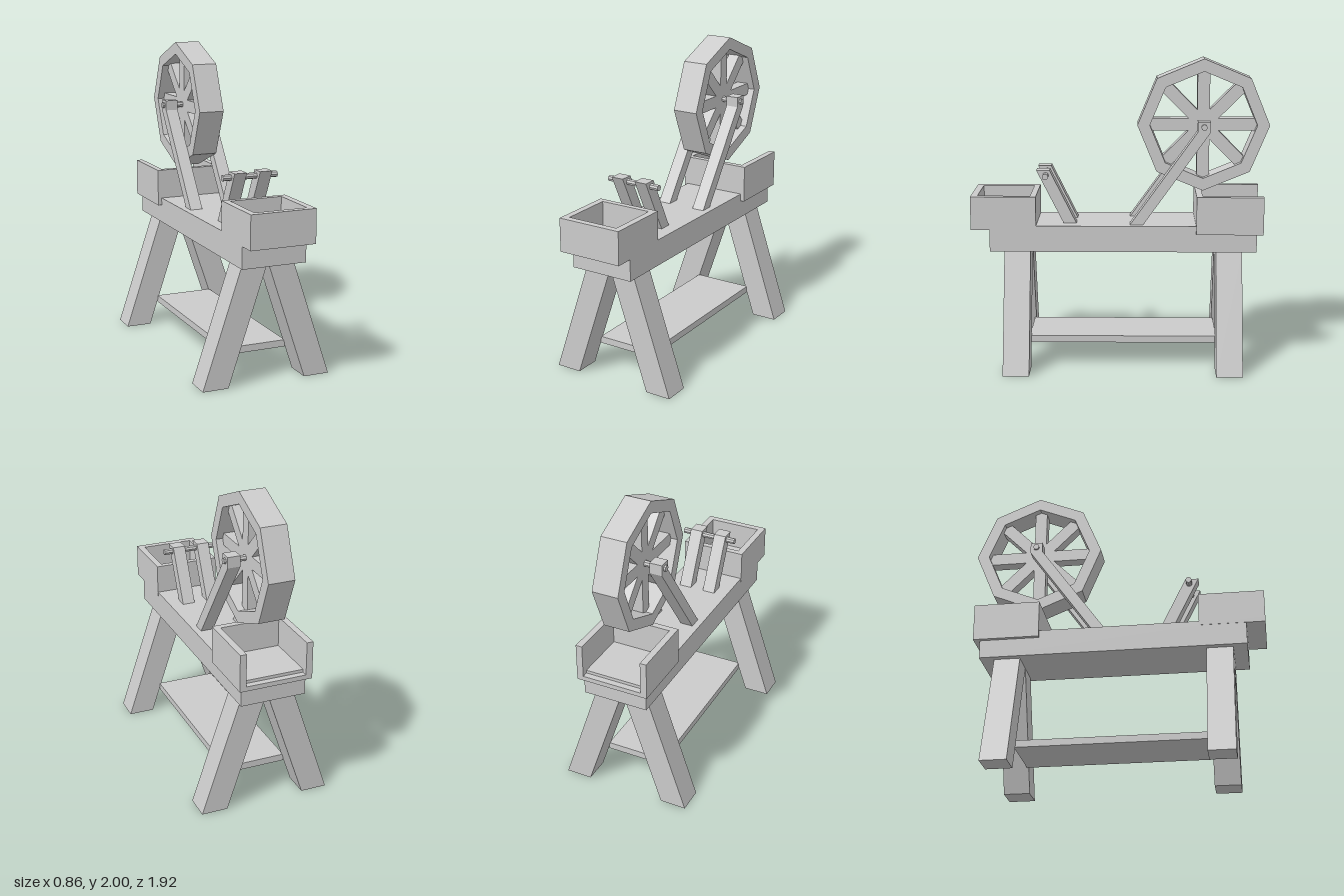
import * as THREE from 'three';

export function createModel() {
  const model = new THREE.Group();
  const mat = new THREE.MeshStandardMaterial({ color: 0xcccccc, flatShading: true });

  function add(name, geo, parent = model) {
    const mesh = new THREE.Mesh(geo, mat);
    mesh.name = name;
    parent.add(mesh);
    return mesh;
  }
  // Box given by its limits on each axis
  function box(name, x0, x1, y0, y1, z0, z1, parent) {
    const m = add(name, new THREE.BoxGeometry(x1 - x0, y1 - y0, z1 - z0), parent);
    m.position.set((x0 + x1) / 2, (y0 + y1) / 2, (z0 + z1) / 2);
    return m;
  }
  const points = (list) => list.map(([a, b]) => new THREE.Vector2(a, b));
  // Side profile in (z, y), extruded across x and centred on it
  function sideGeo(shape, width) {
    return new THREE.ExtrudeGeometry(shape, { depth: width, bevelEnabled: false })
      .translate(0, 0, -width / 2).rotateY(-Math.PI / 2);
  }
  function rod(name, y, z, parent = model) {
    const geo = new THREE.CylinderGeometry(0.02, 0.02, 0.37, 8).rotateZ(Math.PI / 2);
    add(name, geo, parent).position.set(0, y, z);
  }

  // Bench top and lower shelf
  box('benchTop', -0.213, 0.213, 0.77, 0.94, -0.88, 0.84);
  box('shelf', -0.2, 0.2, 0.155, 0.2, -0.63, 0.59);

  // Splayed legs
  for (const s of [-1, 1]) {
    for (const z of [-0.79, 0.58]) {
      const leg = new THREE.Shape(points([[0.26 * s, 0], [0.43 * s, 0], [0.17 * s, 0.775], [0, 0.775]]));
      const geo = new THREE.ExtrudeGeometry(leg, { depth: 0.17, bevelEnabled: false });
      add('leg', geo).position.z = z;
    }
  }

  // Front box, open at the top
  const frontBox = new THREE.Group();
  frontBox.name = 'frontBox';
  model.add(frontBox);
  box('boxFloor', -0.215, 0.215, 0.913, 0.95, 0.54, 0.96, frontBox);
  const rim = new THREE.Shape(points([[-0.215, -0.96], [0.215, -0.96], [0.215, -0.54], [-0.215, -0.54]]));
  rim.holes.push(new THREE.Path(points([[-0.172, -0.917], [-0.172, -0.578], [0.172, -0.578], [0.172, -0.917]])));
  add('boxWalls', new THREE.ExtrudeGeometry(rim, { depth: 0.18, bevelEnabled: false }).rotateX(-Math.PI / 2))
    .position.y = 0.95;

  // Back tray with three high walls and a low lip at the rear
  const tray = new THREE.Group();
  tray.name = 'backTray';
  model.add(tray);
  for (const s of [-1, 1]) {
    box('traySide', s < 0 ? -0.238 : 0.196, s < 0 ? -0.196 : 0.238, 0.89, 1.135, -0.92, -0.49, tray);
  }
  box('trayFront', -0.196, 0.196, 0.89, 1.135, -0.53, -0.49, tray);
  box('trayLip', -0.196, 0.196, 0.89, 0.92, -0.92, -0.88, tray);

  // Eight-sided wheel with spokes
  const wheel = new THREE.Group();
  wheel.name = 'wheel';
  wheel.position.set(0, 1.575, -0.535);
  model.add(wheel);
  const octagon = (r) => points(Array.from({ length: 8 }, (_, i) =>
    [r * Math.cos(i * Math.PI / 4), r * Math.sin(i * Math.PI / 4)]));
  const ring = new THREE.Shape(octagon(0.425));
  ring.holes.push(new THREE.Path(octagon(0.345)));
  add('wheelRim', sideGeo(ring, 0.17), wheel);
  for (let i = 0; i < 4; i++) {
    add('spoke', new THREE.BoxGeometry(0.08, 0.72, 0.08), wheel).rotation.x = i * Math.PI / 4;
  }
  rod('axle', 0, 0, wheel);

  // Slanted wheel supports and front uprights with their rod
  const support = new THREE.Shape(points([[-0.06, 0.935], [-0.495, 1.545], [-0.495, 1.61],
    [-0.575, 1.61], [-0.575, 1.54], [-0.145, 0.935]]));
  const upright = new THREE.Shape(points([[0.28, 0.935], [0.363, 0.935], [0.54, 1.288], [0.455, 1.288]]));
  for (const s of [-1, 1]) {
    add('wheelSupport', sideGeo(support, 0.083)).position.x = 0.13 * s;
    add('frontUpright', sideGeo(upright, 0.083)).position.x = 0.086 * s;
  }
  rod('frontRod', 1.255, 0.48);

  return model;
}
